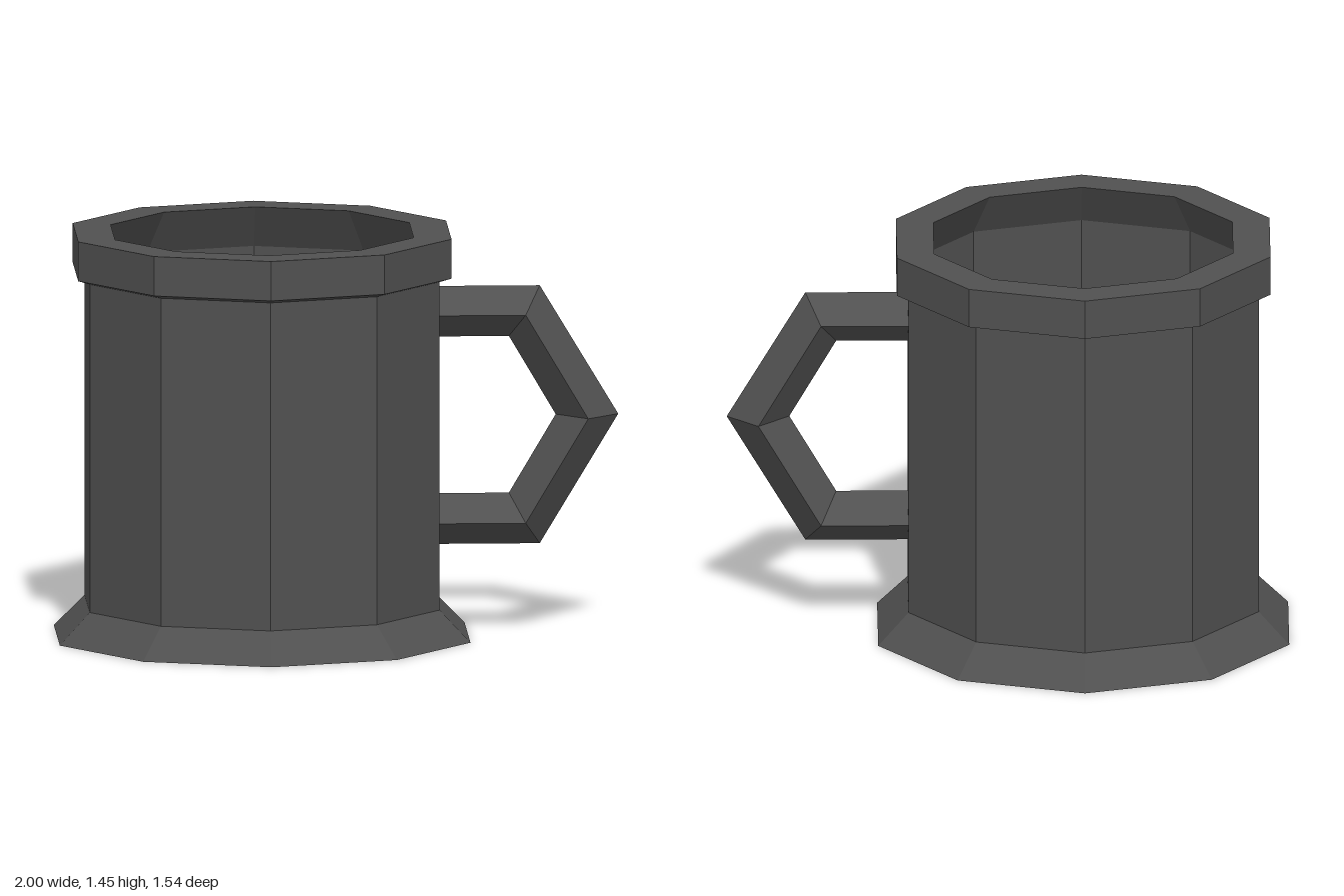
import * as THREE from 'three';

const CENTER_X = -0.27;

export function createModel() {
  const mug = new THREE.Group();
  mug.name = 'mug';
  const material = new THREE.MeshStandardMaterial({
    color: 0x505050, flatShading: true, side: THREE.DoubleSide,
  });

  const add = (name, geometry, x = 0) => {
    const mesh = new THREE.Mesh(geometry, material);
    mesh.name = name;
    mesh.position.x = x;
    mug.add(mesh);
  };

  // Ten-sided thin-walled cup: flared foot, straight wall, thick rim undercut on the inside
  const profile = [
    [0, 0], [0.77, 0], [0.656, 0.113], [0.656, 1.296],
    [0.7, 1.31], [0.7, 1.452], [0.56, 1.452], [0.656, 1.296],
  ].map(([r, y]) => new THREE.Vector2(r, y));
  const cup = new THREE.LatheGeometry(profile, 10).toNonIndexed();
  cup.computeVertexNormals();
  add('cup', cup, CENTER_X);

  add('handle', createHandle());
  return mug;
}

// Angular handle: a diamond section swept along a mitred path, top to bottom
function createHandle() {
  const halfWidth = 0.115;
  // Each station: outer ridge, side ridges and inner ridge in the xy plane
  const stations = [
    { outer: [0.353, 1.25], side: [0.353, 1.16], inner: [0.353, 1.068] },
    { outer: [0.72, 1.25], side: [0.665, 1.16], inner: [0.61, 1.068] },
    { outer: [1.0, 0.785], side: [0.888, 0.785], inner: [0.777, 0.785] },
    { outer: [0.72, 0.32], side: [0.665, 0.41], inner: [0.61, 0.503] },
    { outer: [0.353, 0.32], side: [0.353, 0.41], inner: [0.353, 0.503] },
  ];
  const positions = stations.flatMap(({ outer, side, inner }) => [
    ...outer, 0, ...side, halfWidth, ...inner, 0, ...side, -halfWidth,
  ]);

  const index = [];
  for (let k = 0; k < stations.length - 1; k++) {
    for (let j = 0; j < 4; j++) {
      const a = k * 4 + j;
      const b = k * 4 + ((j + 1) % 4);
      index.push(a, b, a + 4, b, b + 4, a + 4);
    }
  }

  const geometry = new THREE.BufferGeometry();
  geometry.setAttribute('position', new THREE.Float32BufferAttribute(positions, 3));
  geometry.setIndex(index);
  const flat = geometry.toNonIndexed();
  flat.computeVertexNormals();
  return flat;
}
